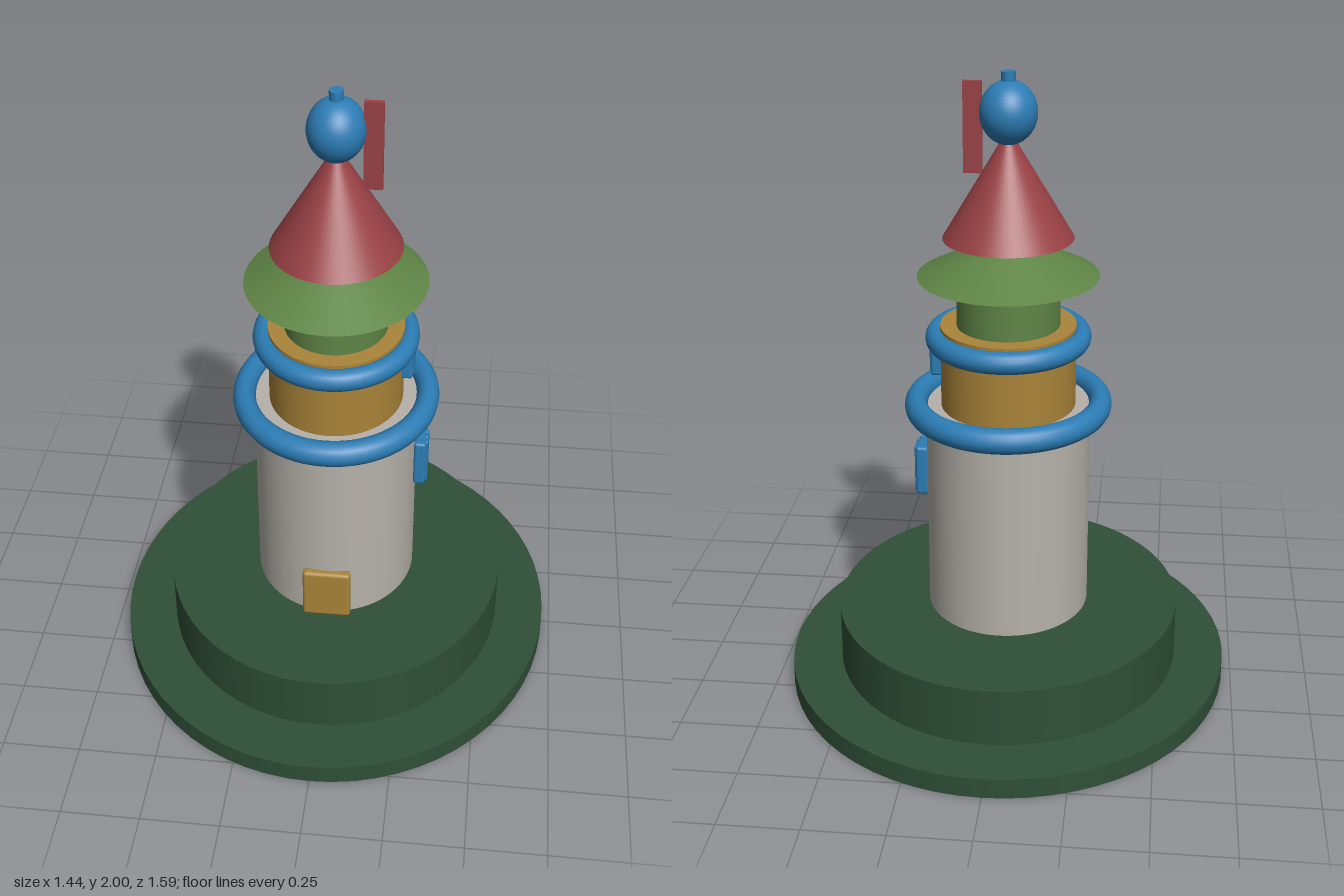
import * as THREE from 'three';
import { RoundedBoxGeometry } from 'three/addons/geometries/RoundedBoxGeometry.js';

const material = (name, color) => {
  const m = new THREE.MeshStandardMaterial({ color });
  m.name = name;
  return m;
};

export function createModel() {
  const darkGreen = material('dark green', 0x2f4f37);
  const stone = material('stone grey', 0xb6b2aa);
  const ochre = material('ochre', 0xaa8439);
  const blue = material('blue', 0x2c7db5);
  const leaf = material('leaf green', 0x5f8546);
  const red = material('red', 0x994145);

  const model = new THREE.Group();
  model.name = 'lighthouse';
  // Round parts share one oval plan, narrower across x
  const tower = new THREE.Group();
  tower.name = 'tower';
  tower.scale.x = 0.905;
  model.add(tower);

  const add = (parent, name, geometry, mat, x, y, z) => {
    const mesh = new THREE.Mesh(geometry, mat);
    mesh.name = name;
    mesh.position.set(x, y, z);
    parent.add(mesh);
    return mesh;
  };
  const drum = (name, r, y0, y1, mat) =>
    add(tower, name, new THREE.CylinderGeometry(r, r, y1 - y0, 64), mat, 0, (y0 + y1) / 2, 0);
  const cone = (name, r, y0, y1, mat) =>
    add(tower, name, new THREE.ConeGeometry(r, y1 - y0, 64), mat, 0, (y0 + y1) / 2, 0);
  const ring = (name, r, tube, y) =>
    add(tower, name, new THREE.TorusGeometry(r, tube, 16, 64).rotateX(Math.PI / 2), blue, 0, y, 0);

  // Stepped island
  drum('shore', 0.797, 0, 0.065, darkGreen);
  drum('hill', 0.619, 0.065, 0.253, darkGreen);

  // Stacked tower with railings
  drum('lowerTower', 0.29, 0.253, 0.945, stone);
  drum('upperTower', 0.237, 0.945, 1.21, ochre);
  drum('lanternRoom', 0.18, 1.21, 1.38, leaf);
  ring('lowerRailing', 0.325, 0.04, 0.945);
  ring('upperRailing', 0.254, 0.035, 1.17);

  // Roofs and finial
  cone('lowerRoof', 0.314, 1.37, 1.51, leaf);
  cone('upperRoof', 0.225, 1.49, 1.83, red);
  add(tower, 'finialBall', new THREE.SphereGeometry(0.098, 40, 24), blue, 0, 1.877, 0);
  drum('finialTip', 0.024, 1.94, 2, blue);
  add(model, 'flag', new THREE.BoxGeometry(0.058, 0.28, 0.016), red, 0.109, 1.83, 0);

  // Door on the front
  add(model, 'door', new RoundedBoxGeometry(0.156, 0.18, 0.034, 3, 0.012), ochre, 0, 0.341, 0.294);

  // Windows on the left side, each a panel with upright bars
  const makeWindow = (name, x, y, width, height, bars) => {
    const group = new THREE.Group();
    group.name = name;
    group.position.set(x, y, 0);
    add(group, 'panel', new RoundedBoxGeometry(0.04, height, width, 3, 0.01), blue, 0, 0, 0);
    const pitch = width / (bars + 1);
    for (let i = 0; i < bars; i++) {
      add(group, 'bar', new RoundedBoxGeometry(0.016, height * 0.97, pitch * 0.7, 2, 0.006),
        blue, 0.018, 0, (i - (bars - 1) / 2) * pitch);
    }
    model.add(group);
  };
  makeWindow('lowerWindow', 0.277, 0.71, 0.11, 0.165, 3);
  makeWindow('upperWindow', 0.225, 1.09, 0.08, 0.105, 1);

  return model;
}
